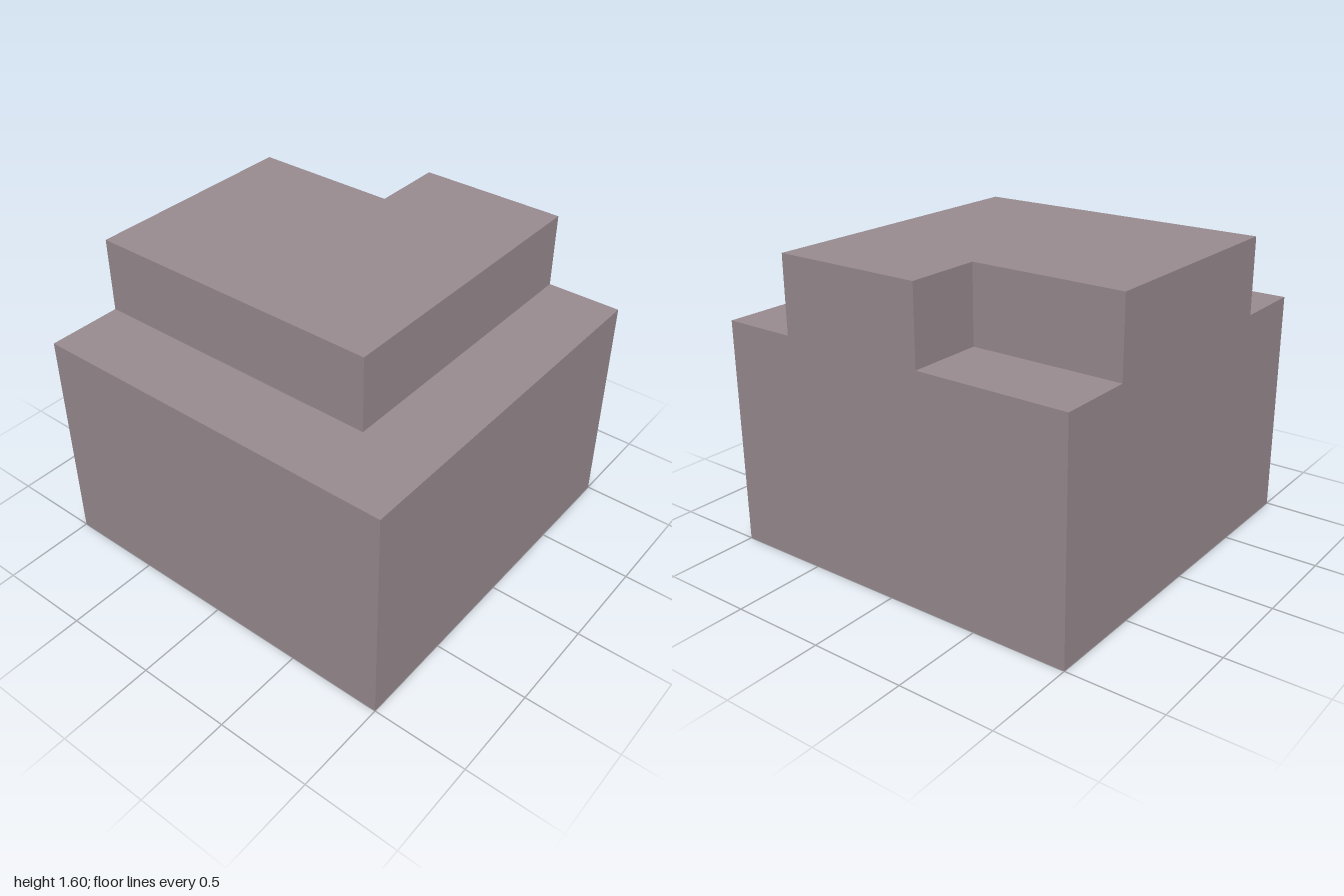
import * as THREE from 'three';

export function createModel() {
  const model = new THREE.Group();
  model.name = 'steppedBlock';

  const mauveGrey = new THREE.MeshStandardMaterial({ color: 0x9a8c91 });
  mauveGrey.name = 'mauveGrey';

  // Square base block
  const base = new THREE.Mesh(new THREE.BoxGeometry(2, 1.2, 2), mauveGrey);
  base.name = 'baseBlock';
  base.position.y = 0.6;
  model.add(base);

  // Upper step, set back at the front and one side, with a notched rear corner.
  // Plan outline as [x, z] pairs, counter-clockwise seen from above.
  const outline = [
    [-1, 0.6], [0.6, 0.6], [0.6, -1], [-0.2, -1], [-0.2, -0.6], [-1, -0.6],
  ];
  const plan = new THREE.Shape(outline.map(([x, z]) => new THREE.Vector2(x, -z)));
  const stepGeometry = new THREE.ExtrudeGeometry(plan, { depth: 0.4, bevelEnabled: false });
  stepGeometry.rotateX(-Math.PI / 2);
  const step = new THREE.Mesh(stepGeometry, mauveGrey);
  step.name = 'upperStep';
  step.position.y = 1.2;
  model.add(step);

  return model;
}
